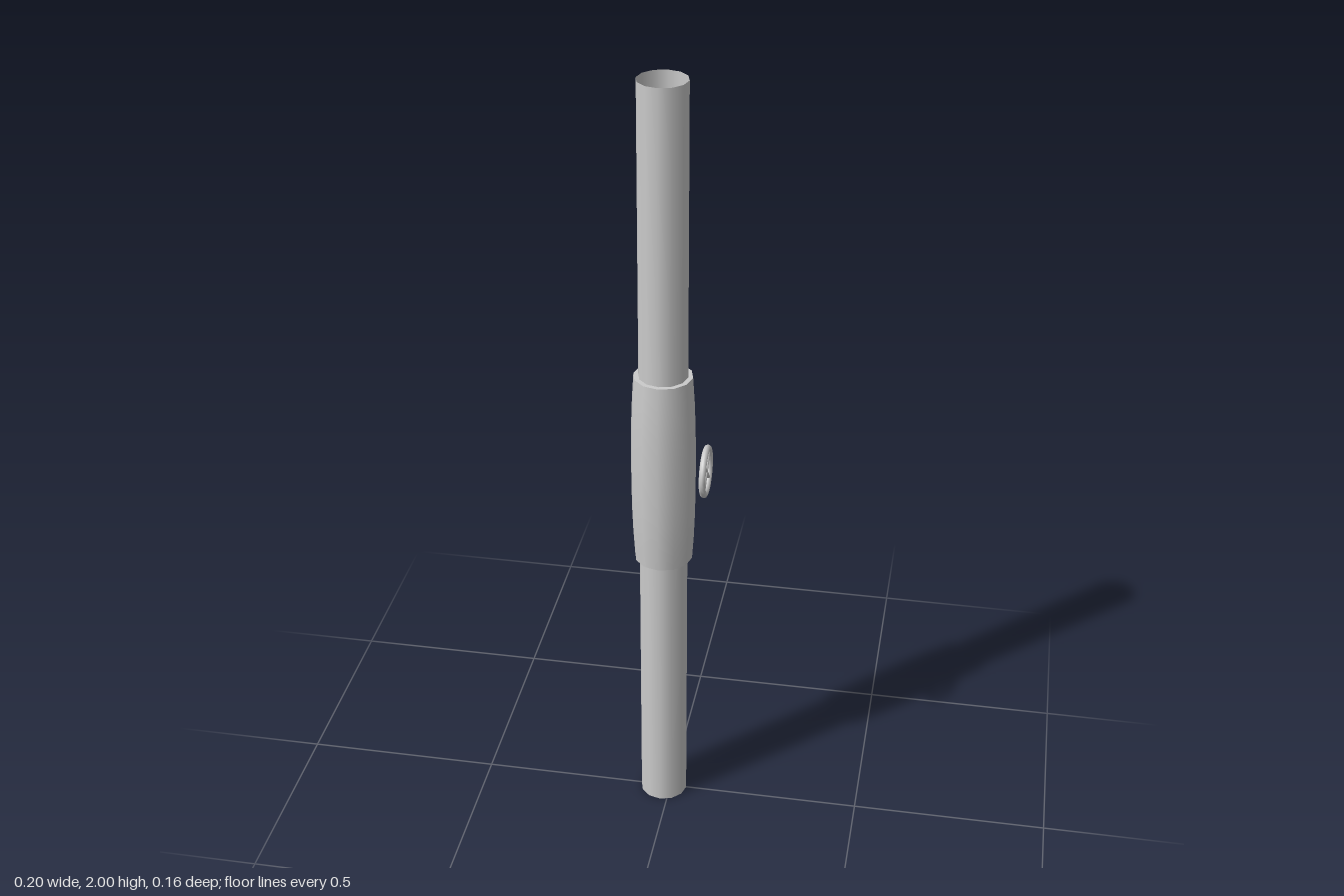
import * as THREE from 'three';

export function createModel() {
  const group = new THREE.Group();
  const grey = new THREE.MeshStandardMaterial({ color: 0xcccccc });
  const open = new THREE.MeshStandardMaterial({ color: 0xcccccc, side: THREE.DoubleSide });
  const axisX = -0.018, sides = 12, pipeR = 0.061;

  const add = (name, geometry, material, parent = group) => {
    const mesh = new THREE.Mesh(geometry, material);
    mesh.name = name;
    parent.add(mesh);
    return mesh;
  };

  // Thin open pipe running the full height
  add('pipe', new THREE.CylinderGeometry(pipeR, pipeR, 2, sides, 1, true), open)
    .position.set(axisX, 1, 0);

  // Bulged valve sleeve around the middle
  const half = 0.257, profile = [];
  for (let i = 0; i <= 8; i++) {
    const t = i / 4 - 1;
    profile.push(new THREE.Vector2(0.081 - 0.008 * Math.abs(t) ** 2.5, t * half));
  }
  add('valveSleeve', new THREE.LatheGeometry(profile, sides), open).position.set(axisX, 1, 0);

  // Flat shoulders closing the sleeve against the pipe
  for (const s of [1, -1]) {
    const shoulder = add(s > 0 ? 'upperShoulder' : 'lowerShoulder',
      new THREE.RingGeometry(pipeR, 0.073, sides), grey);
    shoulder.rotation.x = -s * Math.PI / 2;
    shoulder.position.set(axisX, 1 + s * half, 0);
  }

  // Handwheel with crossed spokes, standing clear of the sleeve
  const wheel = new THREE.Group();
  wheel.name = 'handwheel';
  wheel.position.set(0.088, 1, 0);
  wheel.rotation.y = Math.PI / 2;
  group.add(wheel);
  add('wheelRim', new THREE.TorusGeometry(0.058, 0.0085, 8, 24), grey, wheel);
  for (const s of [1, -1]) {
    add('wheelSpoke', new THREE.CylinderGeometry(0.005, 0.005, 0.114, 8), grey, wheel)
      .rotation.z = s * Math.PI / 4;
  }
  return group;
}
